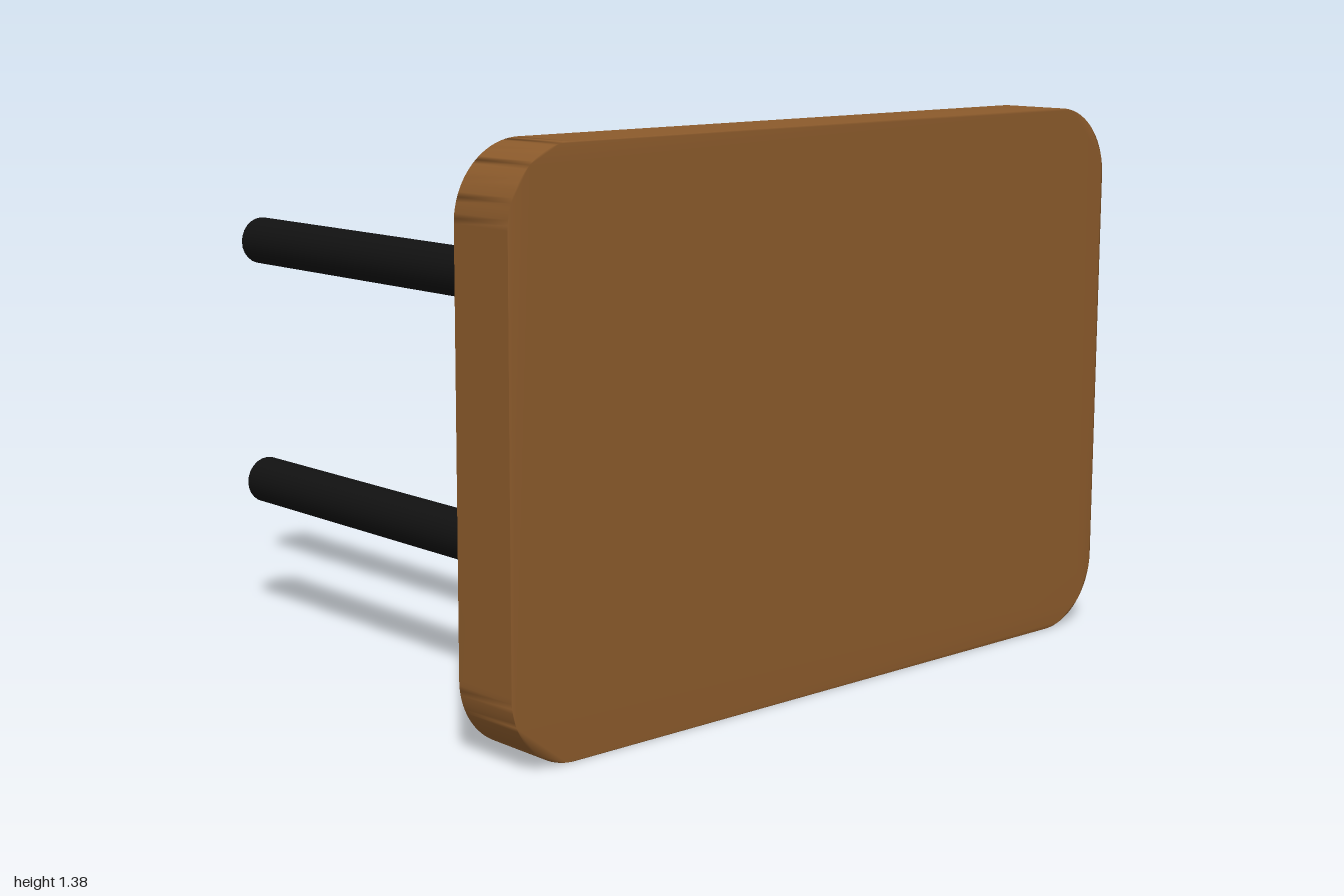
import * as THREE from 'three';
import { mergeVertices } from 'three/addons/utils/BufferGeometryUtils.js';

const WIDTH = 2, HEIGHT = 1.38, RADIUS = 0.18;
const FRONT = 0.755, BACK = 0.57;

// Rectangle with rounded corners, standing on y = 0
function roundedOutline() {
  const x = WIDTH / 2, r = RADIUS, h = HEIGHT;
  const shape = new THREE.Shape();
  shape.moveTo(-x, r);
  shape.lineTo(-x, h - r);
  shape.absarc(-x + r, h - r, r, Math.PI, Math.PI / 2, true);
  shape.absarc(x - r, h - r, r, Math.PI / 2, 0, true);
  shape.absarc(x - r, r, r, 0, -Math.PI / 2, true);
  shape.absarc(-x + r, r, r, -Math.PI / 2, -Math.PI, true);
  return shape;
}

export function createModel() {
  const wood = new THREE.MeshStandardMaterial({ color: 0x8b5a2b });
  wood.name = 'brown wood';
  const black = new THREE.MeshStandardMaterial({ color: 0x111111 });
  black.name = 'black';

  const table = new THREE.Group();
  table.name = 'tableOnItsSide';

  // Slab: welded so the shading rolls softly over the rim
  let slab = new THREE.ExtrudeGeometry(roundedOutline(), {
    depth: FRONT - BACK, bevelEnabled: false, curveSegments: 12,
  });
  slab.deleteAttribute('normal');
  slab.deleteAttribute('uv');
  slab.clearGroups();
  slab = mergeVertices(slab, 1e-4);
  slab.computeVertexNormals();
  const top = new THREE.Mesh(slab, wood);
  top.name = 'tableTop';
  top.position.z = BACK;
  table.add(top);

  // Four legs reaching straight back
  const length = BACK + 0.755;
  const leg = new THREE.CylinderGeometry(0.061, 0.061, length, 24).rotateX(Math.PI / 2);
  for (const side of [1, -1]) {
    for (const [level, y] of [['Upper', 1.02], ['Lower', 0.37]]) {
      const mesh = new THREE.Mesh(leg, black);
      mesh.name = (side > 0 ? 'left' : 'right') + level + 'Leg';
      mesh.position.set(side * 0.63, y, BACK - length / 2);
      table.add(mesh);
    }
  }
  return table;
}
